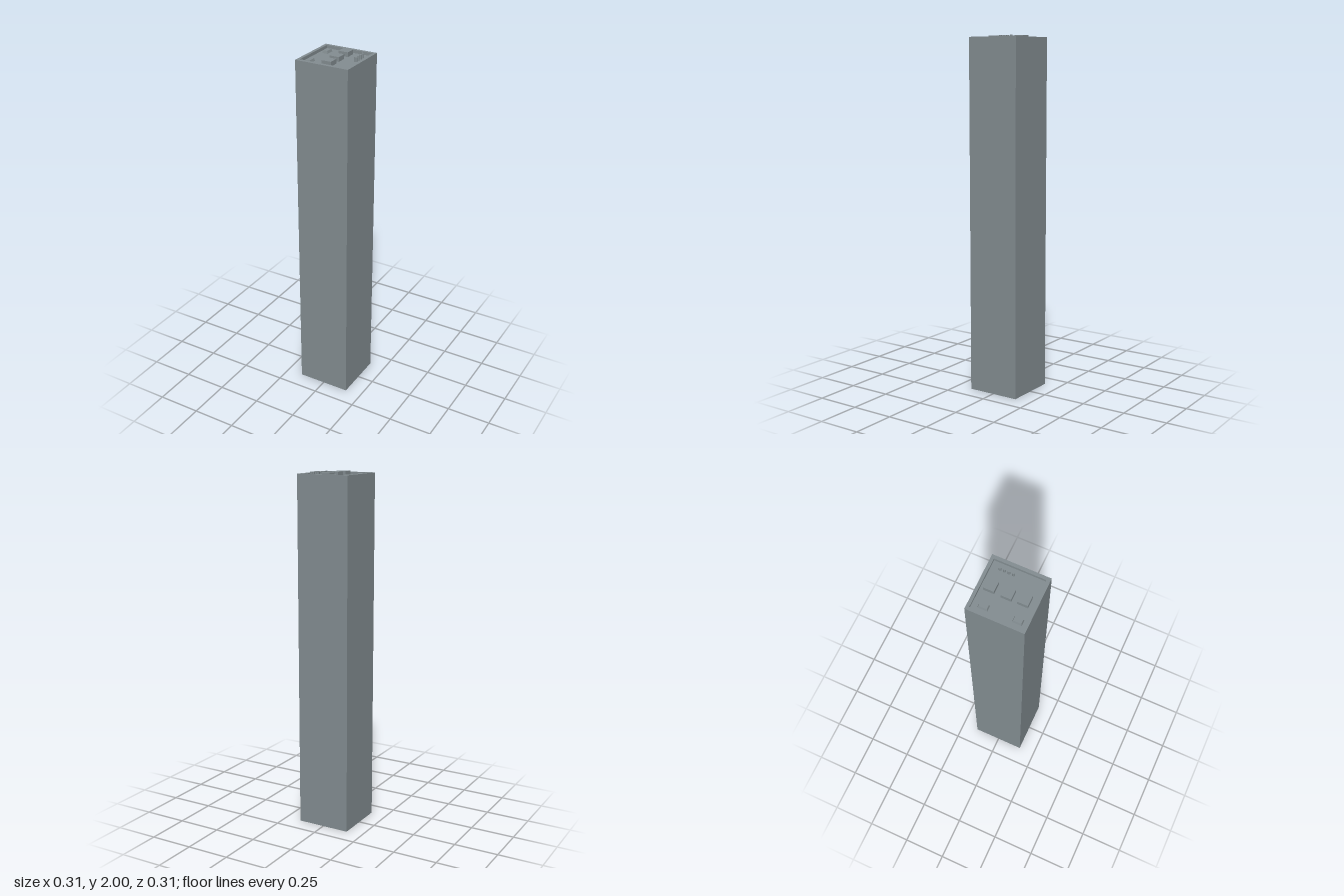
import * as THREE from 'three';

export function createModel() {
  const model = new THREE.Group();
  const concrete = new THREE.MeshStandardMaterial({ color: 0x838d91 });
  concrete.name = 'blue grey concrete';

  const W = 0.308, D = 0.306, ROOF = 1.975, RIM = 1.992, TOP = 2;

  function add(name, geometry, x, y, z) {
    const mesh = new THREE.Mesh(geometry, concrete);
    mesh.name = name;
    mesh.position.set(x, y, z);
    model.add(mesh);
    return mesh;
  }

  // Main shaft up to the sunken roof
  add('tower', new THREE.BoxGeometry(W, ROOF, D), 0, ROOF / 2, 0);

  // Parapet ring around the roof (shape y maps to -z)
  const ring = new THREE.Shape([
    new THREE.Vector2(-W / 2, -D / 2), new THREE.Vector2(W / 2, -D / 2),
    new THREE.Vector2(W / 2, D / 2), new THREE.Vector2(-W / 2, D / 2),
  ]);
  ring.holes.push(new THREE.Path([
    new THREE.Vector2(-0.137, -0.133), new THREE.Vector2(-0.137, 0.136),
    new THREE.Vector2(0.136, 0.136), new THREE.Vector2(0.136, -0.133),
  ]));
  const parapet = new THREE.ExtrudeGeometry(ring, { depth: RIM - ROOF, bevelEnabled: false });
  parapet.rotateX(-Math.PI / 2);
  add('parapet', parapet, 0, ROOF, 0);

  // Three square roof units along the middle
  for (const [x, z] of [[0.004, -0.09], [0.002, -0.001], [0.004, 0.083]]) {
    add('roofUnit', new THREE.BoxGeometry(0.056, TOP - ROOF, 0.055), x, (TOP + ROOF) / 2, z);
  }

  // Two low vents with chamfered tops
  const ventHeight = 0.014;
  for (const z of [-0.079, 0.096]) {
    const vent = new THREE.BoxGeometry(0.032, ventHeight, 0.05);
    const p = vent.attributes.position;
    for (let i = 0; i < p.count; i++) {
      if (p.getY(i) > 0) p.setXYZ(i, p.getX(i) * 0.75, p.getY(i), p.getZ(i) * 0.86);
    }
    const flat = vent.toNonIndexed();
    flat.computeVertexNormals();
    add('vent', flat, -0.101, ROOF + ventHeight / 2, z);
  }

  // Row of four pipes
  for (let i = 0; i < 4; i++) {
    add('pipe', new THREE.CylinderGeometry(0.0075, 0.0075, TOP - ROOF, 20),
      0.104, (TOP + ROOF) / 2, -0.09 + i * 0.0233);
  }

  return model;
}
